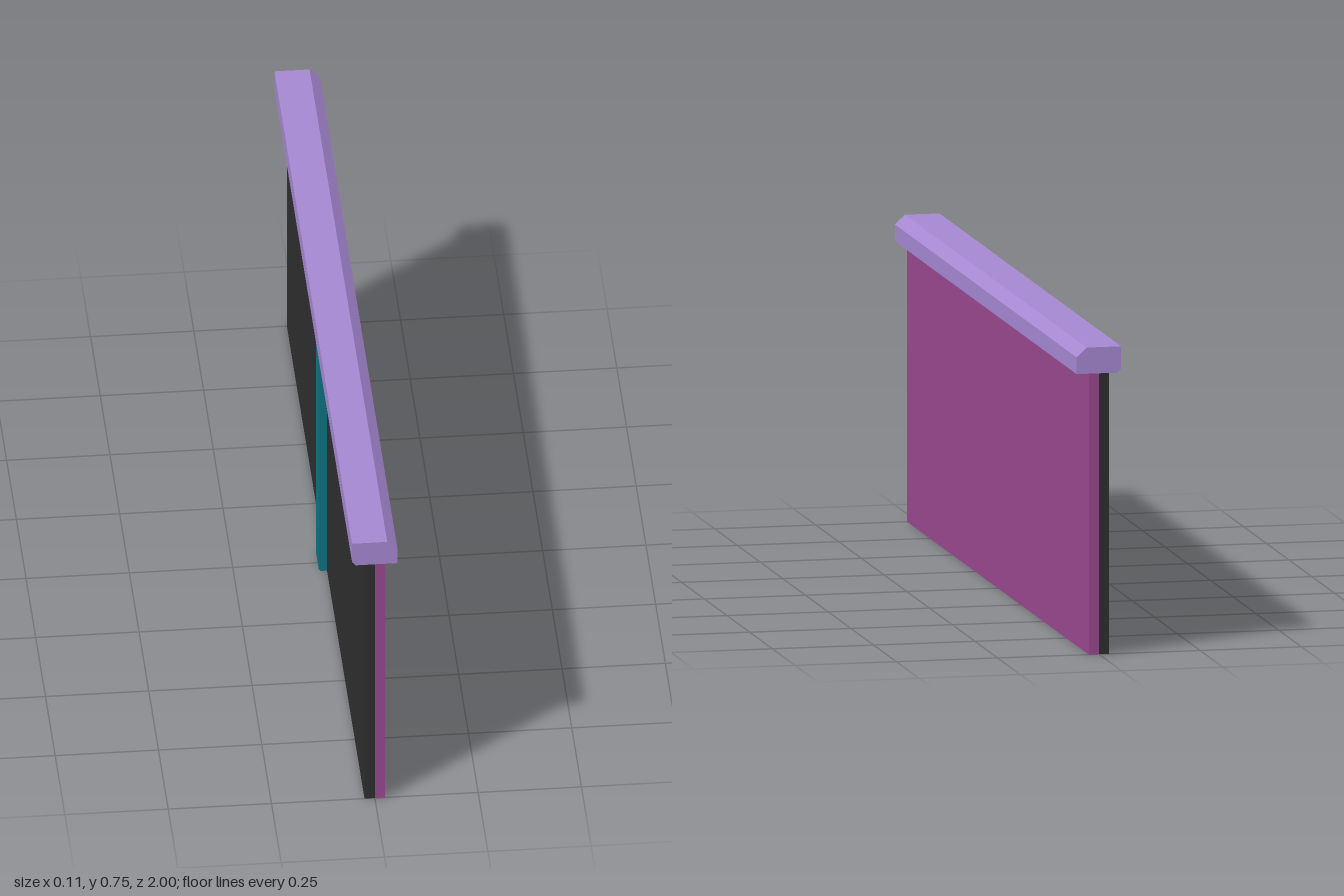
import * as THREE from 'three';

// Extrudes an (x, y) profile along z, centred on z = 0
function bar(name, points, length, color) {
  const shape = new THREE.Shape(points.map(([x, y]) => new THREE.Vector2(x, y)));
  const geometry = new THREE.ExtrudeGeometry(shape, { depth: length, bevelEnabled: false });
  geometry.translate(0, 0, -length / 2);
  const mesh = new THREE.Mesh(geometry, new THREE.MeshStandardMaterial({ color, flatShading: true }));
  mesh.name = name;
  return mesh;
}

const rect = (x0, x1, y0, y1) => [[x0, y0], [x1, y0], [x1, y1], [x0, y1]];

export function createModel() {
  const group = new THREE.Group();
  group.name = 'wallPanel';
  const panelTop = 0.686;

  // Two-layer panel
  group.add(bar('facingPanel', rect(0, 0.025, 0, panelTop), 2, 0x98488f));
  group.add(bar('backingPanel', rect(-0.025, 0, 0, panelTop), 2, 0x2e2e2e));

  // Central upright strip on the backing, with a chamfered foot
  group.add(bar('jointStrip', [
    [-0.04, 0], [-0.025, 0], [-0.025, panelTop], [-0.045, panelTop], [-0.045, 0.005],
  ], 0.07, 0x0b7482));

  // Cap rail with chamfered edges
  group.add(bar('capRail', [
    [-0.046, panelTop], [0.055, panelTop], [0.055, 0.727],
    [0.03, 0.75], [-0.055, 0.75], [-0.055, 0.696],
  ], 2, 0xa688d2));

  return group;
}
